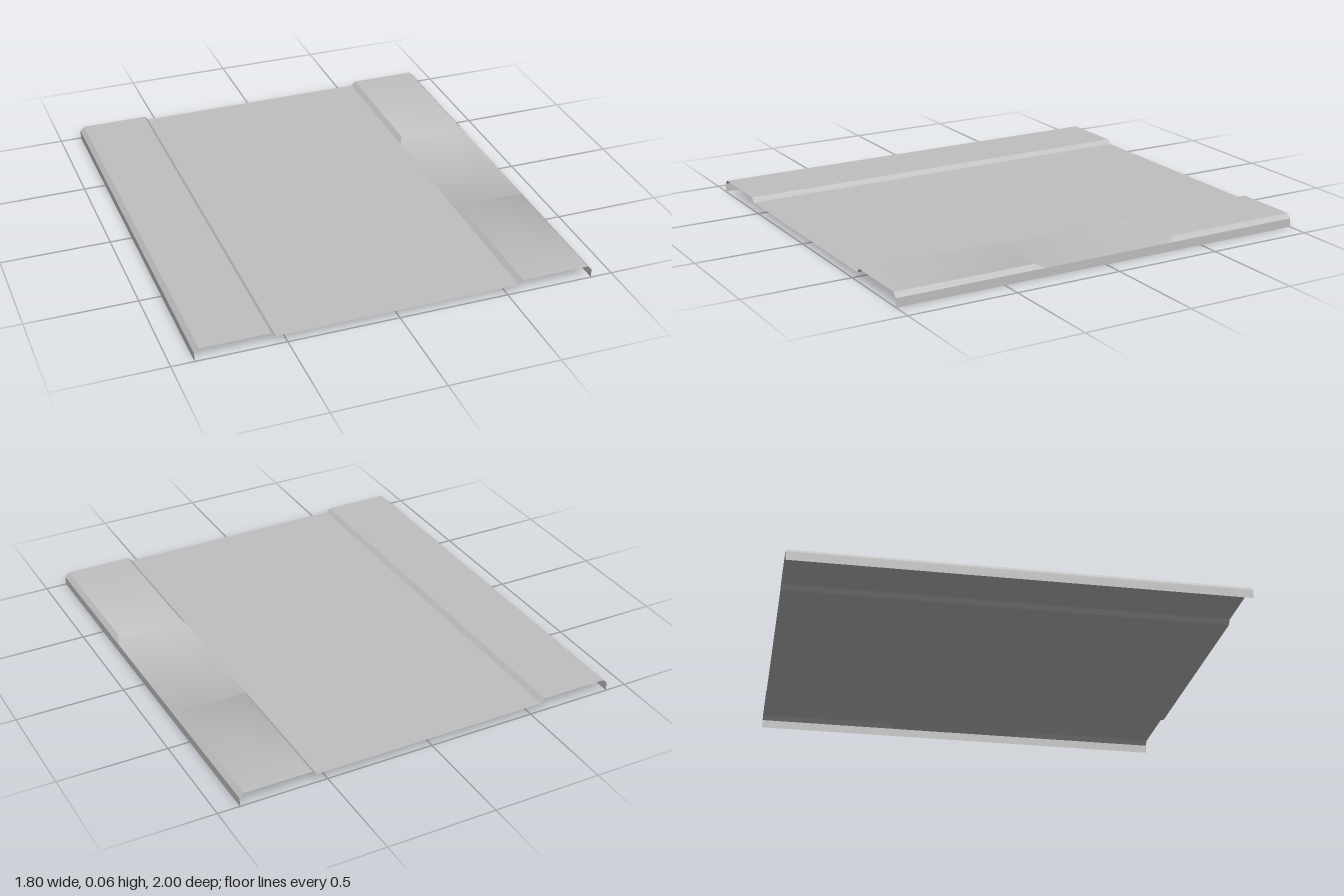
import * as THREE from 'three';
import { toCreasedNormals } from 'three/addons/utils/BufferGeometryUtils.js';

const FLOOR = 0.04, TOP = 0.06;

// Sheet through rows of points: rows run along +z, points along +x (front side up)
function sheet(name, rows, material) {
  const index = [], n = rows[0].length;
  for (let r = 0; r < rows.length - 1; r++) {
    for (let p = 0; p < n - 1; p++) {
      const a = r * n + p, b = a + n;
      index.push(a, b, b + 1, a, b + 1, a + 1);
    }
  }
  const geometry = new THREE.BufferGeometry();
  geometry.setAttribute('position', new THREE.Float32BufferAttribute(rows.flat(2), 3));
  geometry.setIndex(index);
  // Gentle ramps stay smooth, 45 degree folds stay sharp
  const mesh = new THREE.Mesh(toCreasedNormals(geometry, 0.6), material);
  mesh.name = name;
  return mesh;
}

// Cross-section of a raised strip with bevels and a folded-down outer lip
function stripRow(zEdge, zTop, height) {
  return [
    [0.55, FLOOR, zEdge], [0.57, height, zTop], [0.88, height, zTop],
    [0.9, FLOOR, zEdge], [0.9, 0, zEdge],
  ];
}

export function createModel() {
  const grey = new THREE.MeshStandardMaterial({ color: 0xc0c0c0, side: THREE.DoubleSide });
  grey.name = 'plain grey';
  const group = new THREE.Group();
  group.name = 'pressedPanel';

  // Wide flat middle
  const floorRows = [-1, -0.32, 0.305, 1].map((z) => [[-0.55, FLOOR, z], [0.55, FLOOR, z]]);
  group.add(sheet('floorPanel', floorRows, grey));

  // Left strip, with ramps down to a floor-level gap
  group.add(sheet('notchedStrip', [
    stripRow(-1, -1, TOP),
    stripRow(-0.32, -0.36, TOP),
    stripRow(-0.32, -0.32, FLOOR),
    stripRow(0.305, 0.305, FLOOR),
    stripRow(0.305, 0.345, TOP),
    stripRow(1, 1, TOP),
  ], grey));

  // Right strip, unbroken and mirrored
  const mirrored = [-1, 1].map((z) =>
    stripRow(z, z, TOP).map(([x, y, pz]) => [-x, y, pz]).reverse());
  group.add(sheet('plainStrip', mirrored, grey));

  return group;
}
